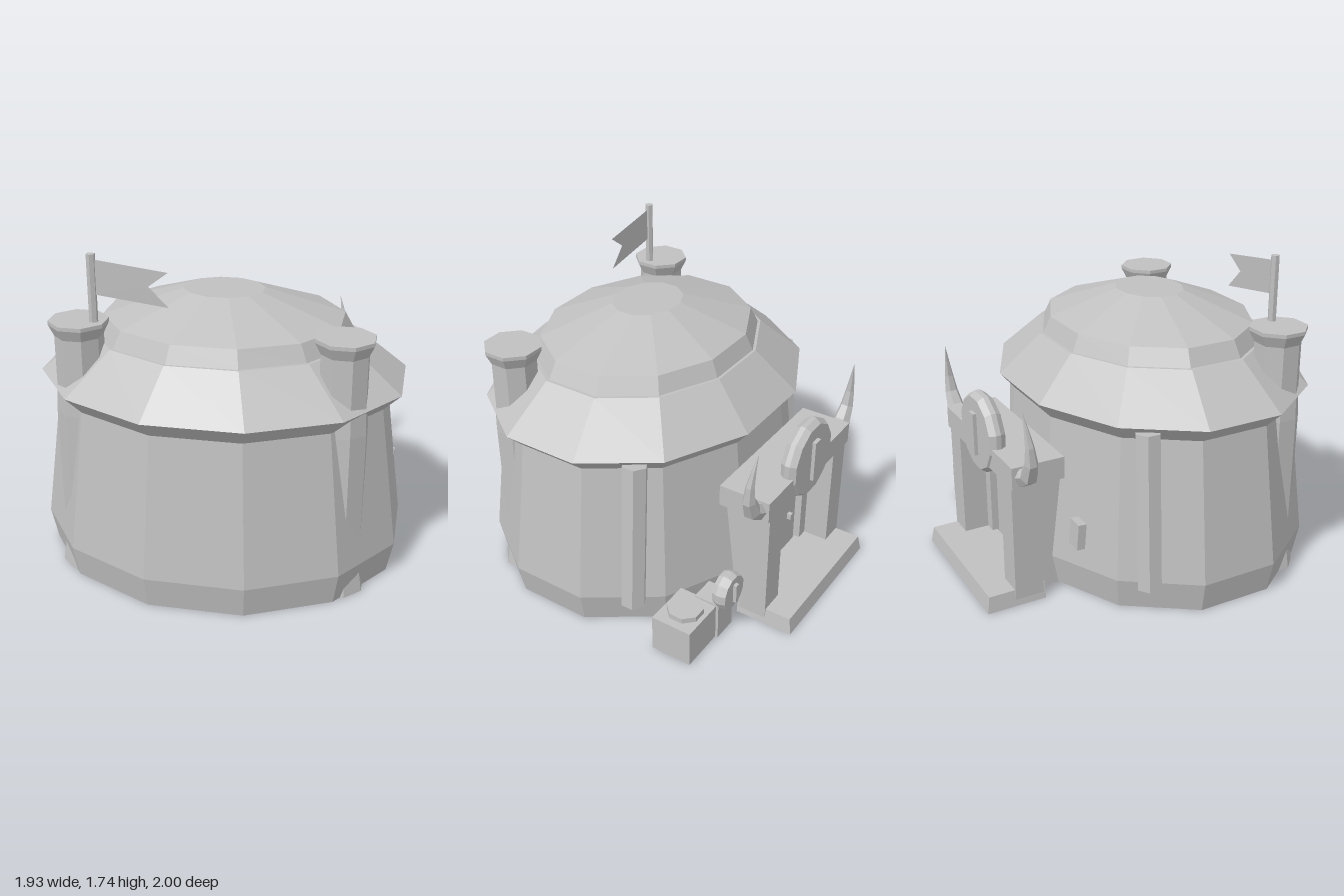
import * as THREE from 'three';

export function createModel() {
  const model = new THREE.Group();
  model.name = 'hut';
  const clay = new THREE.MeshStandardMaterial({ color: 0xc0c0c0, flatShading: true, side: THREE.DoubleSide });
  clay.name = 'plain grey';

  const add = (name, geometry, x = 0, y = 0, z = 0) => {
    const mesh = new THREE.Mesh(geometry, clay);
    mesh.name = name;
    mesh.position.set(x, y, z);
    model.add(mesh);
    return mesh;
  };
  // Box given by its limits on each axis
  const box = (name, x0, x1, y0, y1, z0, z1) =>
    add(name, new THREE.BoxGeometry(x1 - x0, y1 - y0, z1 - z0), (x0 + x1) / 2, (y0 + y1) / 2, (z0 + z1) / 2);
  // Lathe whose radii are measured to the flat sides
  const lathe = (points, sides) => {
    const k = 1 / Math.cos(Math.PI / sides);
    return new THREE.LatheGeometry(points.map(([r, y]) => new THREE.Vector2(r * k, y)), sides, Math.PI / sides);
  };

  // Twelve-sided walls, brim and stepped roof, open underneath
  const shell = lathe([
    [0.93, 0], [0.965, 0.17], [0.865, 0.94], [0.955, 1.03], [0.69, 1.25],
    [0.672, 1.25], [0.625, 1.34], [0.21, 1.48], [0, 1.48],
  ], 12);
  shell.scale(1, 1, 0.832);
  add('wallsAndRoof', shell, 0, 0, 0.197);

  for (const side of [-1, 1]) {
    // Front corner towers with flared tops
    add('tower', lathe([
      [0, 0], [0.14, 0], [0.12, 0.14], [0.124, 0.9], [0.116, 1.05],
      [0.116, 1.31], [0.143, 1.37], [0.143, 1.39], [0, 1.39],
    ], 8), side * 0.675, 0, 0.577);

    // Leaning logs against the rear walls
    const foot = new THREE.Vector3(side * 0.825, 0.16, -0.265);
    const head = new THREE.Vector3(side * 0.755, 1.0, -0.245);
    const dir = head.clone().sub(foot);
    const log = add('wallLog', new THREE.CylinderGeometry(0.07, 0.07, dir.length(), 6));
    log.position.copy(foot).add(head).multiplyScalar(0.5);
    log.quaternion.setFromUnitVectors(new THREE.Vector3(0, 1, 0), dir.normalize());

    // Door posts, outer and inner
    box('doorPost', side * 0.355 - 0.07, side * 0.355 + 0.07, 0, 0.69, -0.84, -0.68);
    box('innerPost', side * 0.27 - 0.05, side * 0.27 + 0.05, 0, 0.62, -0.7, -0.5);

    // Curved horns: a tube narrowed towards its tip
    const curve = new THREE.CatmullRomCurve3([
      [0.42, 0.74, -0.775], [0.49, 0.765, -0.775], [0.545, 0.86, -0.78],
      [0.55, 0.98, -0.79], [0.52, 1.14, -0.81],
    ].map(([x, y, z]) => new THREE.Vector3(side * x, y, z)));
    const rings = 5, sides = 6;
    const horn = new THREE.TubeGeometry(curve, rings, 0.06, sides);
    const pos = horn.attributes.position, v = new THREE.Vector3();
    for (let i = 0; i < pos.count; i++) {
      const t = Math.floor(i / (sides + 1)) / rings;
      const c = curve.getPointAt(t);
      v.fromBufferAttribute(pos, i).sub(c).multiplyScalar(1.01 - t).add(c);
      pos.setXYZ(i, v.x, v.y, v.z);
    }
    add('horn', horn);
  }

  // Lintels, door and knob
  box('lintel', -0.45, 0.45, 0.69, 0.81, -0.845, -0.555);
  box('innerLintel', -0.32, 0.32, 0.55, 0.62, -0.69, -0.5);
  box('door', -0.22, 0.22, 0, 0.55, -0.66, -0.56);
  box('doorKnob', -0.15, -0.125, 0.27, 0.305, -0.685, -0.66);

  // Doorstep with sloping edges, open underneath
  const step = new THREE.BoxGeometry(0.86, 0.09, 0.33);
  step.setIndex([...step.index.array].filter((_, i) => i < 18 || i >= 24));
  step.clearGroups();
  const sp = step.attributes.position;
  for (let i = 0; i < sp.count; i++) {
    if (sp.getY(i) > 0) sp.setXYZ(i, sp.getX(i) * 0.97, sp.getY(i), sp.getZ(i) < 0 ? -0.15 : sp.getZ(i));
  }
  add('doorstep', step, 0, 0.045, -0.835);

  // Round shields with a bevelled rim and a vertical bar
  const shield = (name, r, depth, x, y, z) => {
    const d = depth / 2;
    const g = lathe([[0, -d], [r * 0.9, -d], [r, -d * 0.3], [r, d * 0.3], [r * 0.9, d], [0, d]], 12);
    g.rotateX(-Math.PI / 2);
    add(name, g, x, y, z);
    box(name + 'Bar', x - r * 0.13, x + r * 0.13, y - r * 0.55, y + r * 0.55, z - d - 0.02, z - d + 0.01);
  };
  shield('doorShield', 0.215, 0.09, 0, 0.83, -0.81);
  shield('crateShield', 0.1, 0.08, 0.595, 0.295, -0.705);

  // Crates beside the door
  box('crate', 0.64, 0.91, 0, 0.21, -0.675, -0.445);
  add('crateLid', lathe([[0.09, 0], [0.09, 0.03], [0, 0.03]], 8), 0.775, 0.21, -0.56);
  box('smallCrate', 0.52, 0.66, 0, 0.22, -0.69, -0.545);

  // Small plaque on the rear wall
  box('wallPlaque', -0.61, -0.515, 0.35, 0.49, -0.565, -0.52).rotation.x = 0.08;

  // Flagpole and swallow-tailed flag
  add('flagpole', new THREE.CylinderGeometry(0.023, 0.023, 0.36, 6), -0.587, 1.56, 0.597);
  const flag = new THREE.Shape([
    [0, 1.71], [0.365, 1.66], [0.265, 1.585], [0.365, 1.48], [0, 1.53],
  ].map(([x, y]) => new THREE.Vector2(x, y)));
  add('flag', new THREE.ShapeGeometry(flag), -0.567, 0, 0.597).rotation.y = 0.04;

  return model;
}
